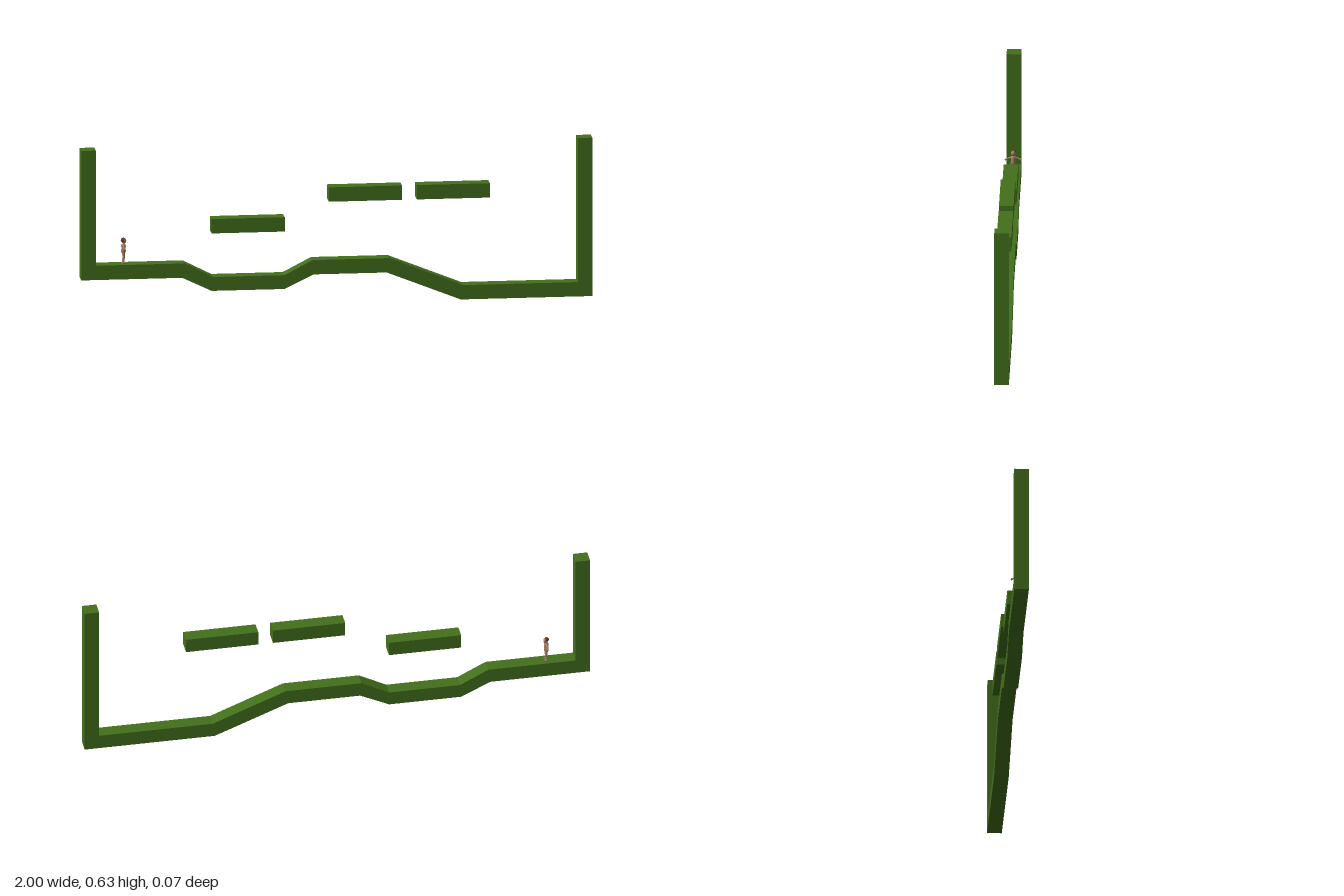
import * as THREE from 'three';

const green = new THREE.MeshStandardMaterial({ color: 0x43701c, flatShading: true });
const skin = new THREE.MeshStandardMaterial({ color: 0xa98467 });
const hair = new THREE.MeshStandardMaterial({ color: 0x5a4030 });
const DEPTH = 0.057;

function add(parent, name, geometry, material, x = 0, y = 0, z = 0) {
  const mesh = new THREE.Mesh(geometry, material);
  mesh.name = name;
  mesh.position.set(x, y, z);
  parent.add(mesh);
  return mesh;
}

function ball(parent, name, material, p, s) {
  add(parent, name, new THREE.SphereGeometry(1, 12, 8), material, ...p).scale.set(...s);
}

// Tapered limb between two points
function limb(parent, name, a, b, ra, rb) {
  const from = new THREE.Vector3(...a), to = new THREE.Vector3(...b);
  const dir = to.clone().sub(from);
  const mesh = add(parent, name, new THREE.CylinderGeometry(rb, ra, dir.length(), 10), skin);
  mesh.position.copy(from).add(to).multiplyScalar(0.5);
  mesh.quaternion.setFromUnitVectors(new THREE.Vector3(0, 1, 0), dir.normalize());
}

// Small person facing +x with arms held out to the sides
function makeFigure() {
  const g = new THREE.Group();
  g.name = 'figure';
  const torso = [[0.001, 0.042], [0.009, 0.045], [0.0095, 0.052], [0.0075, 0.06],
    [0.0095, 0.07], [0.008, 0.076], [0.003, 0.079], [0.003, 0.085]];
  add(g, 'torso', new THREE.LatheGeometry(torso.map(p => new THREE.Vector2(...p)), 14), skin);
  ball(g, 'head', skin, [0.002, 0.09, 0], [0.0095, 0.011, 0.009]);
  ball(g, 'hair', hair, [-0.001, 0.093, 0], [0.0095, 0.0095, 0.0095]);
  for (const s of [1, -1]) {
    limb(g, 'upperArm', [0, 0.072, s * 0.006], [-0.001, 0.068, s * 0.018], 0.0038, 0.0032);
    limb(g, 'foreArm', [-0.001, 0.068, s * 0.018], [0.001, 0.064, s * 0.029], 0.0032, 0.0025);
    ball(g, 'hand', skin, [0.001, 0.063, s * 0.03], [0.0045, 0.0045, 0.0035]);
    limb(g, 'thigh', [0, 0.046, s * 0.0045], [0.001, 0.025, s * 0.006], 0.006, 0.0042);
    limb(g, 'shin', [0.001, 0.025, s * 0.006], [-0.002, 0.004, s * 0.007], 0.0044, 0.003);
    ball(g, 'foot', skin, [0.002, 0.003, s * 0.007], [0.009, 0.003, 0.004]);
  }
  return g;
}

export function createModel() {
  const model = new THREE.Group();

  // Ground strip with a raised wall at each end
  const outline = [
    [-1, 0.63], [-1, 0.115], [-0.605, 0.115], [-0.49, 0.06], [-0.205, 0.06],
    [-0.09, 0.115], [0.195, 0.115], [0.485, 0], [1, 0], [1, 0.63],
    [0.943, 0.63], [0.943, 0.057], [0.493, 0.057], [0.205, 0.172], [-0.095, 0.172],
    [-0.205, 0.115], [-0.485, 0.115], [-0.597, 0.172], [-0.943, 0.172], [-0.943, 0.63],
  ].map(p => new THREE.Vector2(...p));
  add(model, 'groundAndWalls',
    new THREE.ExtrudeGeometry(new THREE.Shape(outline), { depth: DEPTH, bevelEnabled: false }),
    green, 0, 0, -DEPTH / 2);

  // Floating platforms
  for (const [x, y] of [[-0.347, 0.317], [0.112, 0.431], [0.456, 0.431]]) {
    add(model, 'platform', new THREE.BoxGeometry(0.286, 0.057, DEPTH), green, x, y, 0);
  }

  const figure = makeFigure();
  figure.position.set(-0.832, 0.172, 0);
  model.add(figure);
  return model;
}
